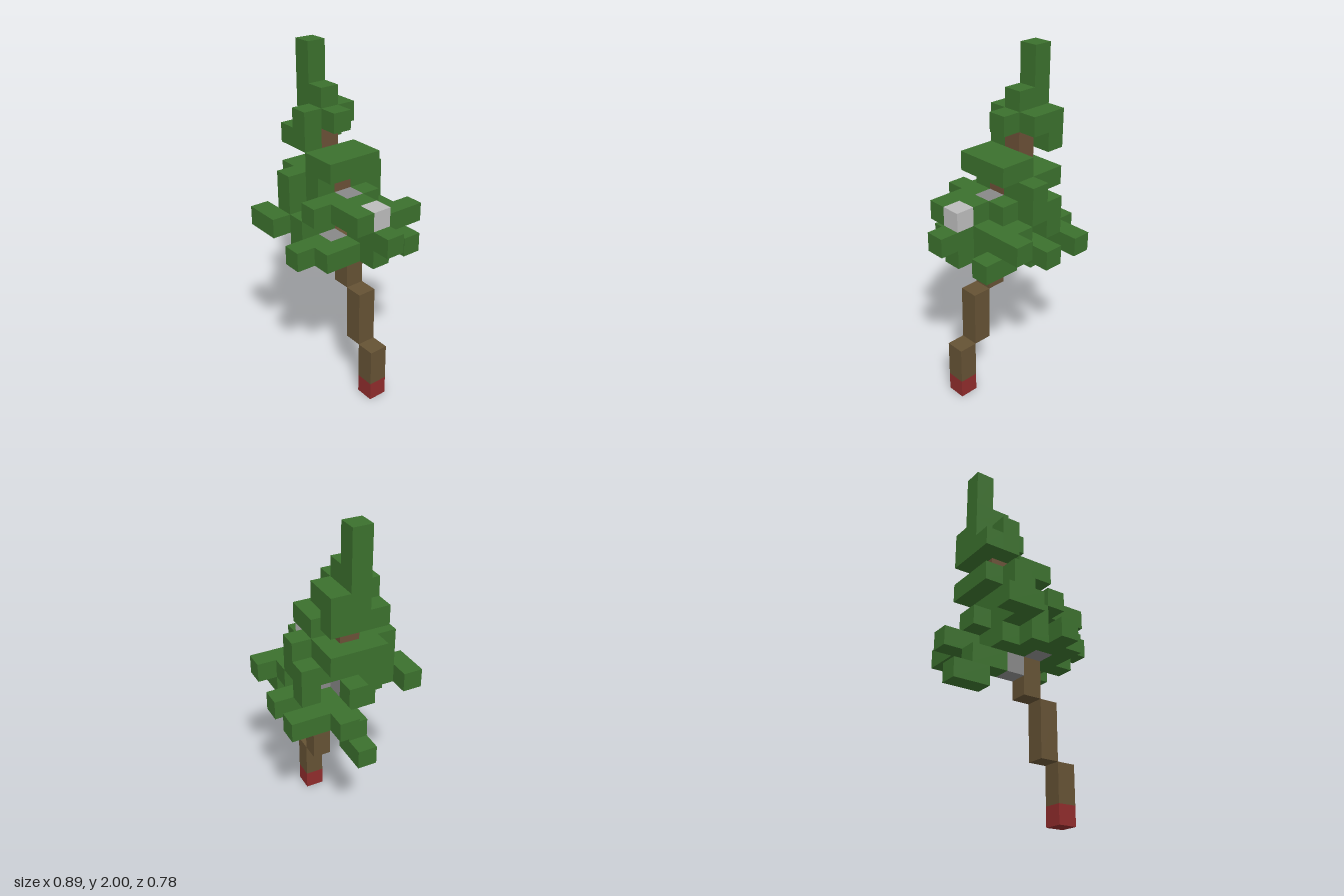
import * as THREE from 'three';

const U = 1 / 9; // edge of one cube; the model is 8 x 18 x 7 cubes

const material = (name, color) => {
  const m = new THREE.MeshStandardMaterial({ color });
  m.name = name;
  return m;
};

export function createModel() {
  const tree = new THREE.Group();
  tree.name = 'leaningTree';
  const green = material('leaf green', 0x3b702d);
  const brown = material('trunk brown', 0x655234);
  const umber = material('upper trunk brown', 0x6a4f36);
  const grey = material('branch grey', 0x888888);
  const pale = material('pale grey', 0xbcbcbc);
  const red = material('base red', 0x8f2c2c);

  // A block starting at cube column x, layer y, row z, measured in cubes
  const block = (parent, name, mat, x, y, z, w = 1, h = 1, d = 1) => {
    const mesh = new THREE.Mesh(new THREE.BoxGeometry(w * U, h * U, d * U), mat);
    mesh.position.set((x + w / 2 - 4) * U, (y + h / 2) * U, (z + d / 2 - 3.5) * U);
    mesh.name = name;
    parent.add(mesh);
  };

  // Trunk stepping sideways as it rises
  const trunk = new THREE.Group();
  trunk.name = 'trunk';
  tree.add(trunk);
  block(trunk, 'trunkBase', red, 6, 0, 3);
  block(trunk, 'lowerTrunk', brown, 6, 1, 3, 1, 2);
  block(trunk, 'middleTrunk', brown, 5, 3, 3, 1, 3);
  block(trunk, 'crownTrunk', brown, 4, 6, 3, 1, 3);
  block(trunk, 'innerTrunk', umber, 3, 9, 3, 1, 3);
  block(trunk, 'upperTrunk', umber, 2, 12, 3, 1, 2);

  // Branch cubes: x, y, z
  const branches = new THREE.Group();
  branches.name = 'branches';
  tree.add(branches);
  for (const [x, y, z] of [[3, 7, 3], [4, 8, 4], [2, 9, 3], [3, 9, 2], [4, 10, 3]]) {
    block(branches, 'branch', grey, x, y, z);
  }
  block(branches, 'branchTip', pale, 6, 10, 3);

  // Foliage by layer: runs of [x, z, width, depth]
  const layers = {
    6: [[0, 3, 2, 1]],
    7: [[1, 3, 2, 1]],
    8: [[0, 2, 6, 1], [1, 0, 1, 2], [3, 0, 1, 2], [5, 1, 2, 1], [2, 3, 2, 2],
      [5, 3, 2, 1], [5, 4, 1, 1], [3, 5, 3, 1], [4, 6, 1, 1]],
    9: [[1, 6, 2, 1], [2, 4, 2, 2], [1, 3, 1, 1], [2, 1, 1, 1], [4, 1, 1, 2],
      [5, 0, 1, 3], [5, 3, 3, 1]],
    10: [[2, 1, 2, 2], [2, 3, 1, 3], [3, 4, 4, 1], [4, 2, 1, 1], [4, 5, 1, 1], [5, 3, 1, 1]],
    11: [[1, 2, 2, 3], [2, 5, 1, 1], [3, 1, 1, 2], [3, 4, 1, 1]],
    12: [[3, 2, 2, 3]],
    13: [[1, 2, 1, 3], [2, 4, 1, 1]],
    14: [[1, 2, 2, 2], [3, 3, 1, 1], [2, 4, 1, 1]],
    15: [[1, 3, 2, 1]],
  };
  for (const [y, runs] of Object.entries(layers)) {
    const layer = new THREE.Group();
    layer.name = 'foliageLayer' + y;
    tree.add(layer);
    for (const [x, z, w, d] of runs) block(layer, 'leaves', green, x, Number(y), z, w, 1, d);
  }

  // Tall tip
  block(tree, 'treeTop', green, 1, 16, 3, 1, 2);
  return tree;
}
